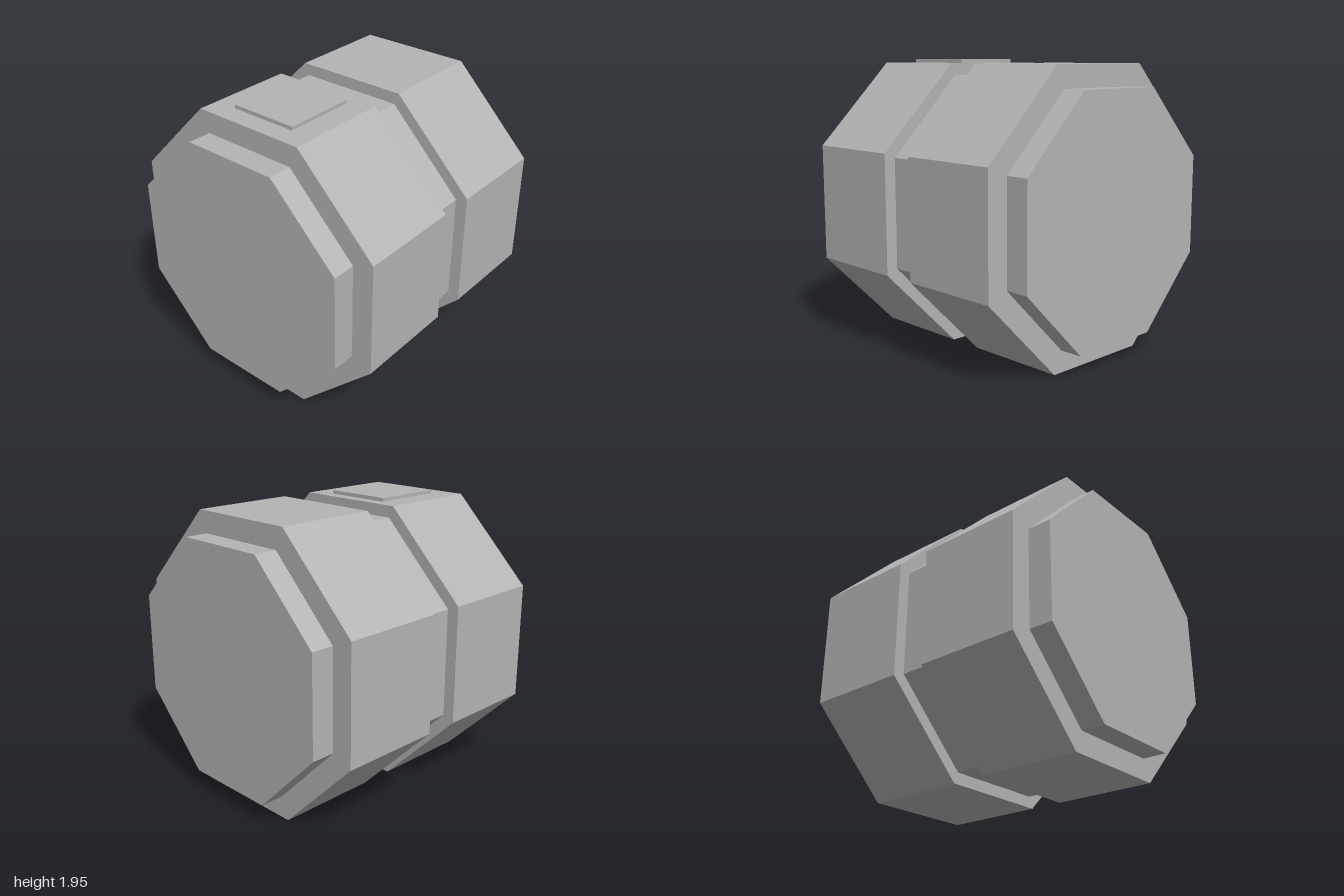
import * as THREE from 'three';

export function createModel() {
  const group = new THREE.Group();
  const grey = new THREE.MeshStandardMaterial({ color: 0xb4b4b4, flatShading: true });
  grey.name = 'plain grey';
  const centreY = 0.9625;

  function add(name, geometry, x, y) {
    const mesh = new THREE.Mesh(geometry, grey);
    mesh.name = name;
    mesh.position.set(x, y, 0);
    group.add(mesh);
  }

  // Octagonal drum lying along x, sized by its distance from axis to flat side
  function drum(name, apothem, x0, x1) {
    const radius = apothem / Math.cos(Math.PI / 8);
    const geometry = new THREE.CylinderGeometry(radius, radius, x1 - x0, 8, 1, false, Math.PI / 8);
    geometry.rotateZ(Math.PI / 2);
    add(name, geometry, (x0 + x1) / 2, centreY);
  }

  // Recessed waist between the two wide bands
  drum('waist', 0.8825, -0.12, 0.12);

  // Wide bands and stepped end caps
  drum('leftBand', 0.9625, 0.12, 0.838);
  drum('rightBand', 0.9625, -0.838, -0.12);
  drum('leftEndCap', 0.815, 0.838, 1);
  drum('rightEndCap', 0.815, -1, -0.838);

  // Raised plate on top of the right band
  add('topPlate', new THREE.BoxGeometry(0.5, 0.025, 0.476), -0.45, 1.9375);

  return group;
}
